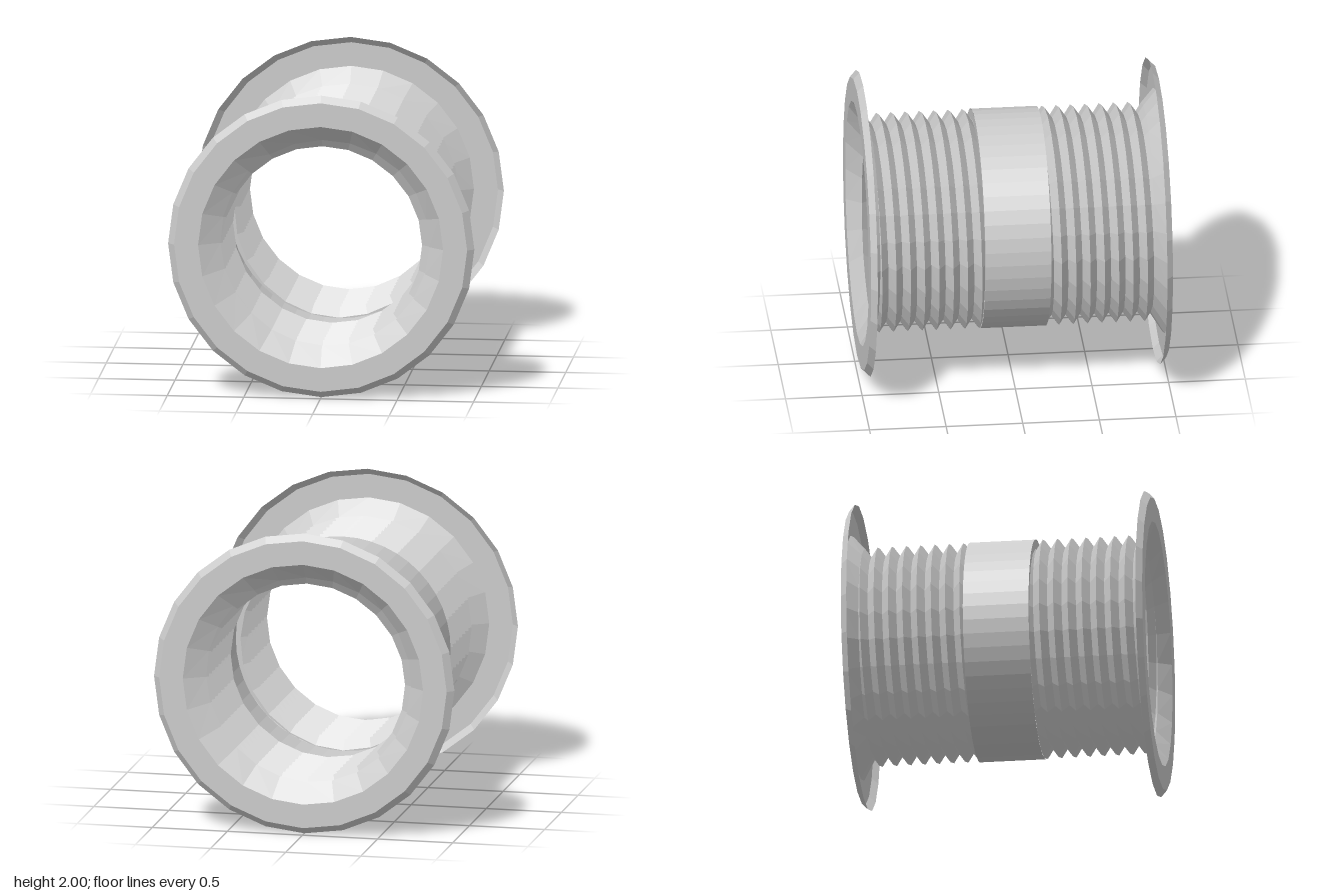
import * as THREE from 'three';

const SIDES = 24;
const PITCH = 0.0933;            // thread pitch
const PEAK = 0.715, VALLEY = 0.648;
const COLLAR_Z = 0.215;          // half width of the collar
const THREAD_END = 0.9;          // where the thread runs out into the funnel

// Axial position of a peak or valley line at a given angle
const helixZ = (half, angle) =>
  0.26 + PITCH * (half / 2 + (angle - Math.PI / 2) / (2 * Math.PI));

// Radius of the V-shaped thread at any point
function threadRadius(z, angle) {
  const u = (z - helixZ(0, angle)) / PITCH;
  return PEAK - (PEAK - VALLEY) * 2 * Math.abs(u - Math.round(u));
}

// Thin faceted skin around the z axis; profile(angle) lists [radius, z] pairs
function skin(profile) {
  const columns = [];
  for (let i = 0; i <= SIDES; i++) {
    const a = (i / SIDES) * Math.PI * 2;
    columns.push(profile(a).map(([r, z]) =>
      new THREE.Vector3(r * Math.cos(a), r * Math.sin(a), z)));
  }
  const points = [];
  const addFace = (a, b, c) => {
    if (new THREE.Triangle(a, b, c).getArea() > 1e-7) points.push(a, b, c);
  };
  for (let i = 0; i < SIDES; i++) {
    const p = columns[i], q = columns[i + 1];
    for (let j = 0; j < p.length - 1; j++) {
      addFace(p[j], q[j], q[j + 1]);
      addFace(p[j], q[j + 1], p[j + 1]);
    }
  }
  const geometry = new THREE.BufferGeometry().setFromPoints(points);
  geometry.computeVertexNormals();
  return geometry;
}

// Step down from the collar, then the helical thread cut off at both ends
function threadProfile(angle) {
  const rows = [[PEAK, COLLAR_Z]];
  for (let half = -4; half <= 16; half++) {
    const z = THREE.MathUtils.clamp(helixZ(half, angle), COLLAR_Z, THREAD_END);
    rows.push([threadRadius(z, angle), z]);
  }
  return rows;
}

// Flared funnel, flat face and turned-back rim
const flangeProfile = (angle) => [
  [threadRadius(THREAD_END, angle), THREAD_END],
  [0.8, 0.985],
  [0.957, 0.985],
  [1, 0.945],
];

export function createModel() {
  const model = new THREE.Group();
  model.name = 'threadedSpool';
  const material = new THREE.MeshStandardMaterial({
    color: 0xcccccc, flatShading: true, side: THREE.DoubleSide,
  });
  const add = (parent, name, geometry) => {
    const mesh = new THREE.Mesh(geometry, material);
    mesh.name = name;
    parent.add(mesh);
  };

  // Plain collar in the middle
  const collar = new THREE.CylinderGeometry(PEAK, PEAK, 2 * COLLAR_Z, 48, 1, true);
  add(model, 'collar', collar.rotateX(Math.PI / 2));

  // Two equal ends, the back one turned half way round
  const thread = skin(threadProfile), flange = skin(flangeProfile);
  for (const side of ['front', 'back']) {
    const end = new THREE.Group();
    end.name = side + 'End';
    end.rotation.y = side === 'back' ? Math.PI : 0;
    add(end, side + 'Thread', thread);
    add(end, side + 'Flange', flange);
    model.add(end);
  }

  model.position.y = 1;
  return model;
}
